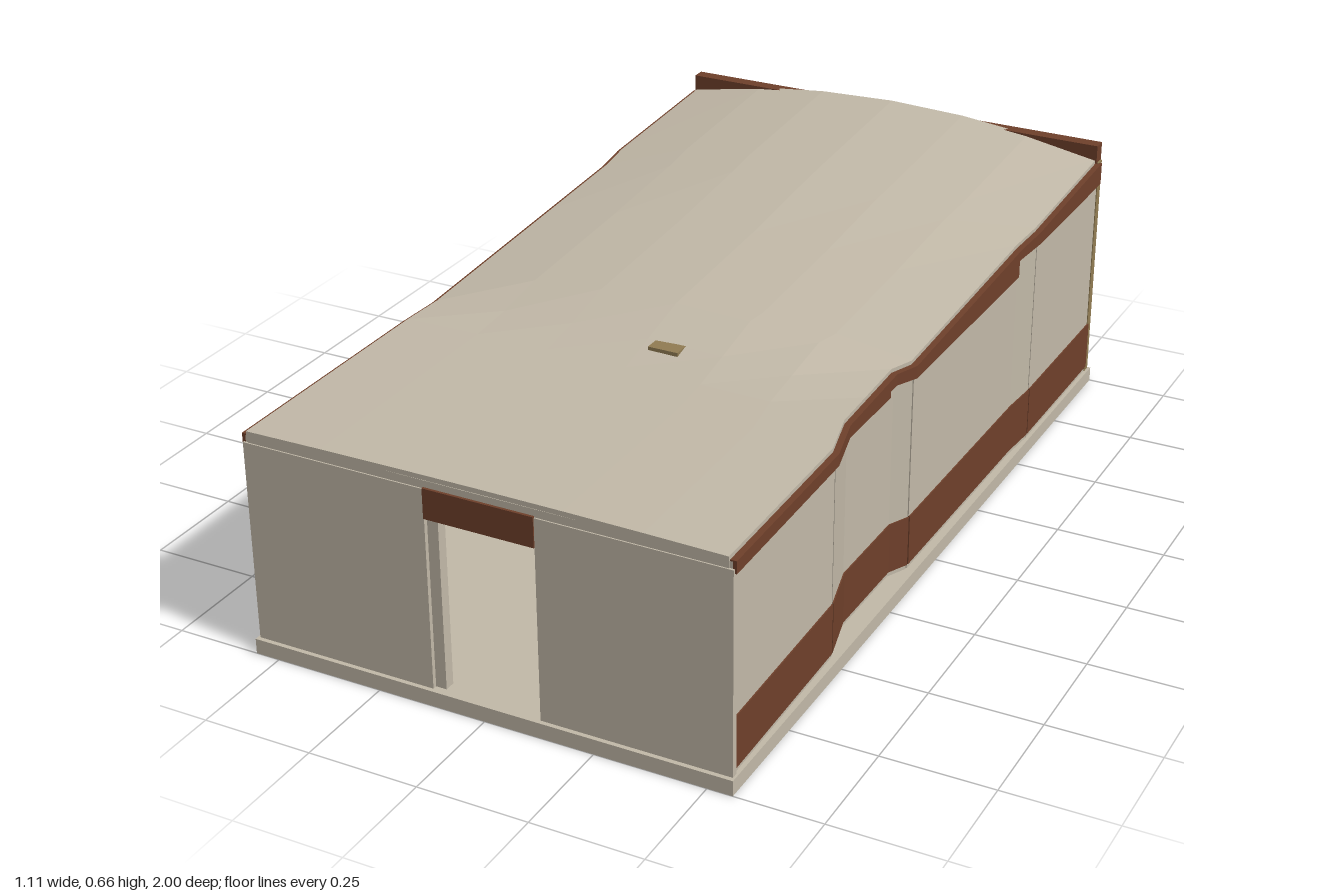
import * as THREE from 'three';

const mat = (name, color, extra = {}) => {
  const m = new THREE.MeshStandardMaterial({ color, ...extra });
  m.name = name;
  return m;
};

// Linear interpolation through [z, value] pairs sorted by z
const lerpTable = (table, z) => {
  for (let i = 1; i < table.length; i++) {
    const [z0, a] = table[i - 1], [z1, b] = table[i];
    if (z <= z1) return a + (b - a) * Math.max(0, (z - z0) / (z1 - z0));
  }
  return table[table.length - 1][1];
};

// Outer plan line of each long wall, distance from the centre line
const PLAN = {
  1: [[-0.98, 0.547], [-0.57, 0.547], [-0.47, 0.54], [0.12, 0.536], [0.17, 0.512], [0.4, 0.51], [0.52, 0.54], [0.985, 0.547]],
  '-1': [[-0.98, 0.547], [-0.57, 0.547], [-0.47, 0.537], [0.3, 0.535], [0.4, 0.547], [0.985, 0.547]],
};
const EAVE = [[-0.98, 0.603], [0.4, 0.522], [0.99, 0.522]];
const CROWN = [[-0.98, 0.66], [-0.52, 0.632], [-0.2, 0.602], [0.17, 0.58], [0.4, 0.527], [0.99, 0.527]];
const wallX = (side, z) => lerpTable(PLAN[side], z);
const eave = (z) => lerpTable(EAVE, z);

// Closed solid through rings of [x, y]; each ring runs counter-clockwise, bottom edge first
function loft(sections) {
  const pos = [];
  const quad = (a, b, c, d) => pos.push(...a, ...b, ...c, ...a, ...c, ...d);
  const rings = sections.map(({ z, ring }) => ring.map(([x, y]) => [x, y, z]));
  const n = rings[0].length;
  for (let k = 0; k + 1 < rings.length; k++) {
    for (let i = 0; i < n; i++) {
      const j = (i + 1) % n;
      quad(rings[k][i], rings[k][j], rings[k + 1][j], rings[k + 1][i]);
    }
  }
  const first = rings[0], last = rings[rings.length - 1];
  for (let i = 0; i < n / 2 - 1; i++) {
    quad(last[i], last[i + 1], last[n - 2 - i], last[n - 1 - i]);
    quad(first[i], first[n - 1 - i], first[n - 2 - i], first[i + 1]);
  }
  const g = new THREE.BufferGeometry();
  g.setAttribute('position', new THREE.Float32BufferAttribute(pos, 3));
  g.computeVertexNormals();
  return g;
}

// Strip that follows a long wall from z0 to z1, between two offsets from its plan line
function wallStrip(side, z0, z1, inner, outer, bottom, top) {
  const inside = [...PLAN[side], ...EAVE].map((p) => p[0]).filter((z) => z > z0 + 0.001 && z < z1 - 0.001);
  const stations = [...new Set([z0, ...inside, z1])].sort((a, b) => a - b);
  return loft(stations.map((z) => {
    const xs = [side * (wallX(side, z) + inner), side * (wallX(side, z) + outer)].sort((a, b) => a - b);
    const t = top(z);
    return { z, ring: [[xs[0], bottom], [xs[1], bottom], [xs[1], t], [xs[0], t]] };
  }));
}

// Arched roof sheet with a slope that flattens toward the front
function roofGeometry() {
  const us = [-1, -0.67, -0.35, 0, 0.35, 0.67, 1];
  const zs = [-0.98, -0.57, -0.47, -0.2, 0.12, 0.17, 0.3, 0.4, 0.52, 0.99];
  return loft(zs.map((z) => {
    const e = eave(z), c = lerpTable(CROWN, z);
    const top = us.map((u) => [u * (wallX(u < 0 ? -1 : 1, z) - 0.006), e + (c - e) * (1 - u * u)]);
    const bottom = top.map(([x, y]) => [x, y - 0.011]);
    return { z, ring: [...bottom, ...top.reverse()] };
  }));
}

export function createModel() {
  const model = new THREE.Group();
  model.name = 'pavilion';
  const plaster = mat('plaster', 0xc2b9a8);
  const brown = mat('brown cladding', 0x6f402b);
  const tan = mat('tan metal', 0x917c53);
  const glass = mat('dark glass', 0x685b53, { side: THREE.DoubleSide });

  const add = (name, geometry, material) => {
    const m = new THREE.Mesh(geometry, material);
    m.name = name;
    model.add(m);
  };
  const box = (name, material, x0, x1, y0, y1, z0, z1) => {
    const g = new THREE.BoxGeometry(x1 - x0, y1 - y0, z1 - z0);
    g.translate((x0 + x1) / 2, (y0 + y1) / 2, (z0 + z1) / 2);
    add(name, g, material);
  };

  // Floor slab and roof
  box('floorSlab', plaster, -0.556, 0.556, 0, 0.035, -1, 1);
  add('roof', roofGeometry(), plaster);
  box('roofVent', tan, 0.018, 0.088, 0.53, 0.55, 0.295, 0.333);

  // Long side walls, split into panels with narrow joints
  const joints = { 1: [-0.98, -0.57, 0.12, 0.52, 0.985], '-1': [-0.98, -0.57, 0.985] };
  for (const side of [1, -1]) {
    const label = side > 0 ? 'left' : 'right';
    const cuts = joints[side];
    for (let i = 0; i + 1 < cuts.length; i++) {
      const z0 = cuts[i] + (i ? 0.002 : 0);
      const z1 = cuts[i + 1] - (i + 2 < cuts.length ? 0.002 : 0);
      add(label + 'WallPanel', wallStrip(side, z0, z1, -0.014, 0, 0.035, (z) => eave(z) - 0.012), plaster);
      add(label + 'BaseBand', wallStrip(side, z0, z1, -0.001, 0.003, 0.046, () => 0.165), brown);
    }
    // Fascia under the eaves, its lower edge stepping down toward the front
    for (const [z0, z1, bottom] of [[-0.98, -0.46, 0.54], [-0.46, 0.2, 0.5], [0.2, 0.985, 0.485]]) {
      add(label + 'Fascia', wallStrip(side, z0, z1, -0.012, 0.008, bottom, (z) => eave(z) - 0.009), brown);
    }
  }

  // Front wall with the doorway
  box('frontWallRight', plaster, -0.551, -0.125, 0.035, 0.495, 0.975, 0.99);
  box('frontWallLeft', plaster, 0.125, 0.551, 0.035, 0.495, 0.975, 0.99);
  box('frontHeader', plaster, -0.54, 0.54, 0.495, 0.513, 0.975, 0.987);
  box('doorLintel', brown, -0.125, 0.125, 0.43, 0.498, 0.975, 0.993);
  box('doorJamb', plaster, -0.125, -0.1, 0.035, 0.43, 0.955, 0.98);

  // Glazed back wall with sill, top beam and posts
  box('backSill', brown, -0.545, 0.545, 0.035, 0.11, -0.995, -0.975);
  box('backBeam', brown, -0.545, 0.545, 0.595, 0.64, -1, -0.968);
  box('backGlass', glass, -0.54, 0.54, 0.11, 0.596, -0.987, -0.982);
  for (const x of [-0.54, 0, 0.54]) {
    box('backPost', tan, x - 0.009, x + 0.009, x ? 0.035 : 0.11, 0.596, -0.996, -0.974);
  }
  return model;
}
